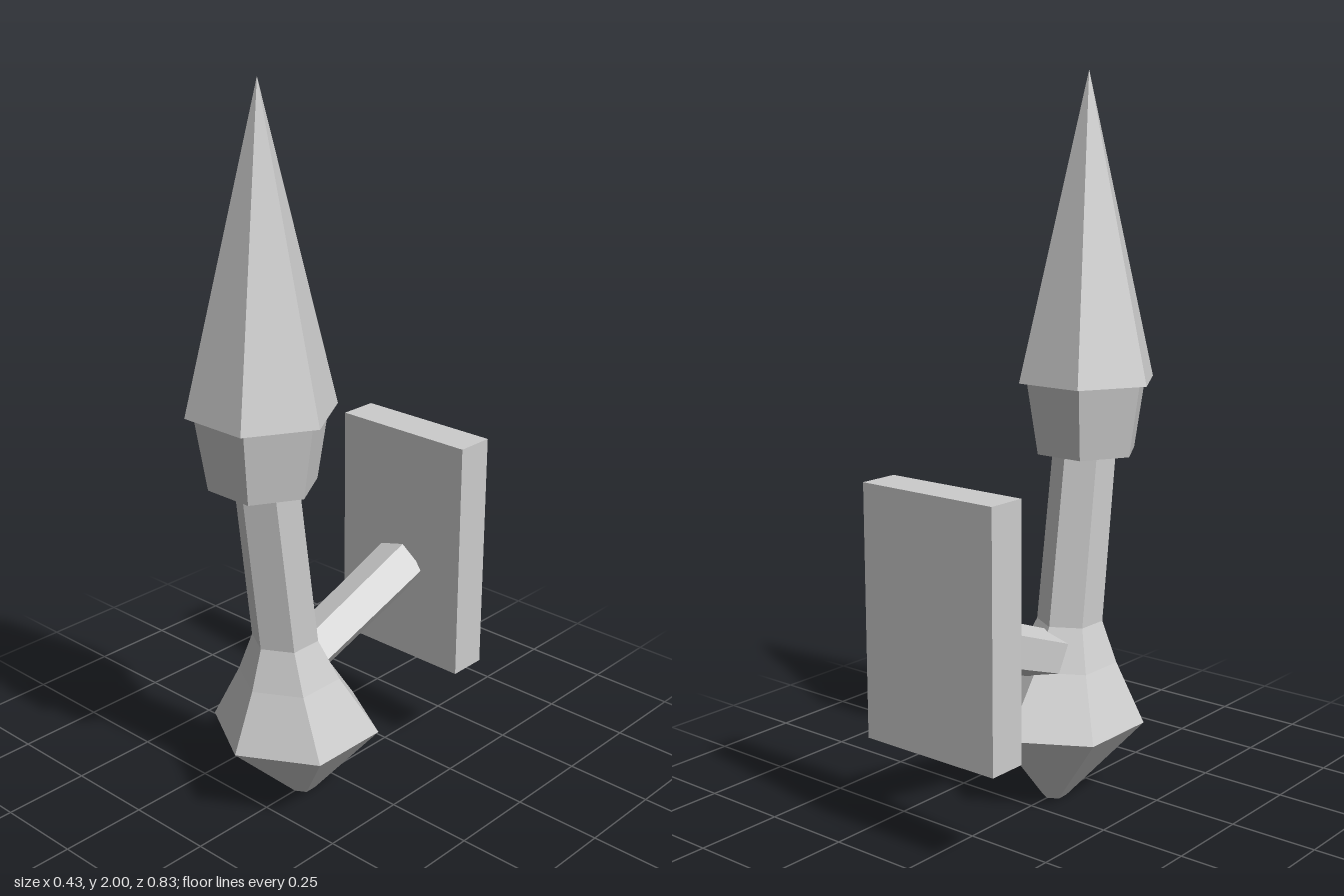
import * as THREE from 'three';

const stone = new THREE.MeshStandardMaterial({
  color: 0xcccccc, flatShading: true, side: THREE.DoubleSide,
});
stone.name = 'pale grey';

export function createModel() {
  const group = new THREE.Group();
  group.name = 'wallTorch';
  const add = (name, geometry, x, y, z) => {
    const mesh = new THREE.Mesh(geometry, stone);
    mesh.name = name;
    mesh.position.set(x, y, z);
    group.add(mesh);
    return mesh;
  };

  // Leaning six-sided handle with a bulb: rows of [height, radius, centre z]
  const rows = [
    [0, 0, 0.103], [0, 0.034, 0.103], [0.22, 0.234, 0.131], [0.385, 0.141, 0.156],
    [0.5, 0.092, 0.17], [0.97, 0.088, 0.232], [1.02, 0.088, 0.239],
  ];
  const handle = new THREE.LatheGeometry(rows.map(([y, r]) => new THREE.Vector2(r, y)), 6);
  const pos = handle.attributes.position;
  for (let i = 0; i < pos.count; i++) {
    pos.setZ(i, pos.getZ(i) + rows[i % rows.length][2]);
  }
  add('handle', handle, 0, 0, 0);

  // Open cup and flame, corners pointing to the sides
  const turn = Math.PI / 2;
  add('cup', new THREE.CylinderGeometry(0.177, 0.145, 0.2, 6, 1, true, turn), 0, 1.07, 0.243);
  add('flame', new THREE.ConeGeometry(0.2, 0.83, 6, 1, true, turn), 0, 1.585, 0.243);

  // Five-sided arm rising from the bulb to the wall plate
  const inner = new THREE.Vector3(0, 0.412, 0.1);
  const outer = new THREE.Vector3(0, 0.56, -0.312);
  const along = outer.clone().sub(inner);
  const mid = inner.clone().add(outer).multiplyScalar(0.5);
  const arm = add('arm', new THREE.CylinderGeometry(0.0785, 0.071, along.length(), 5, 1, false, turn),
    mid.x, mid.y, mid.z);
  arm.rotation.x = Math.atan2(along.z, along.y);

  // Wall plate, hollow with its underside left open
  const plate = new THREE.BoxGeometry(0.43, 0.69, 0.112);
  const faces = Array.from(plate.index.array);
  faces.splice(18, 6);
  plate.setIndex(faces);
  plate.clearGroups();
  add('wallPlate', plate, 0, 0.62, -0.36);

  return group;
}
